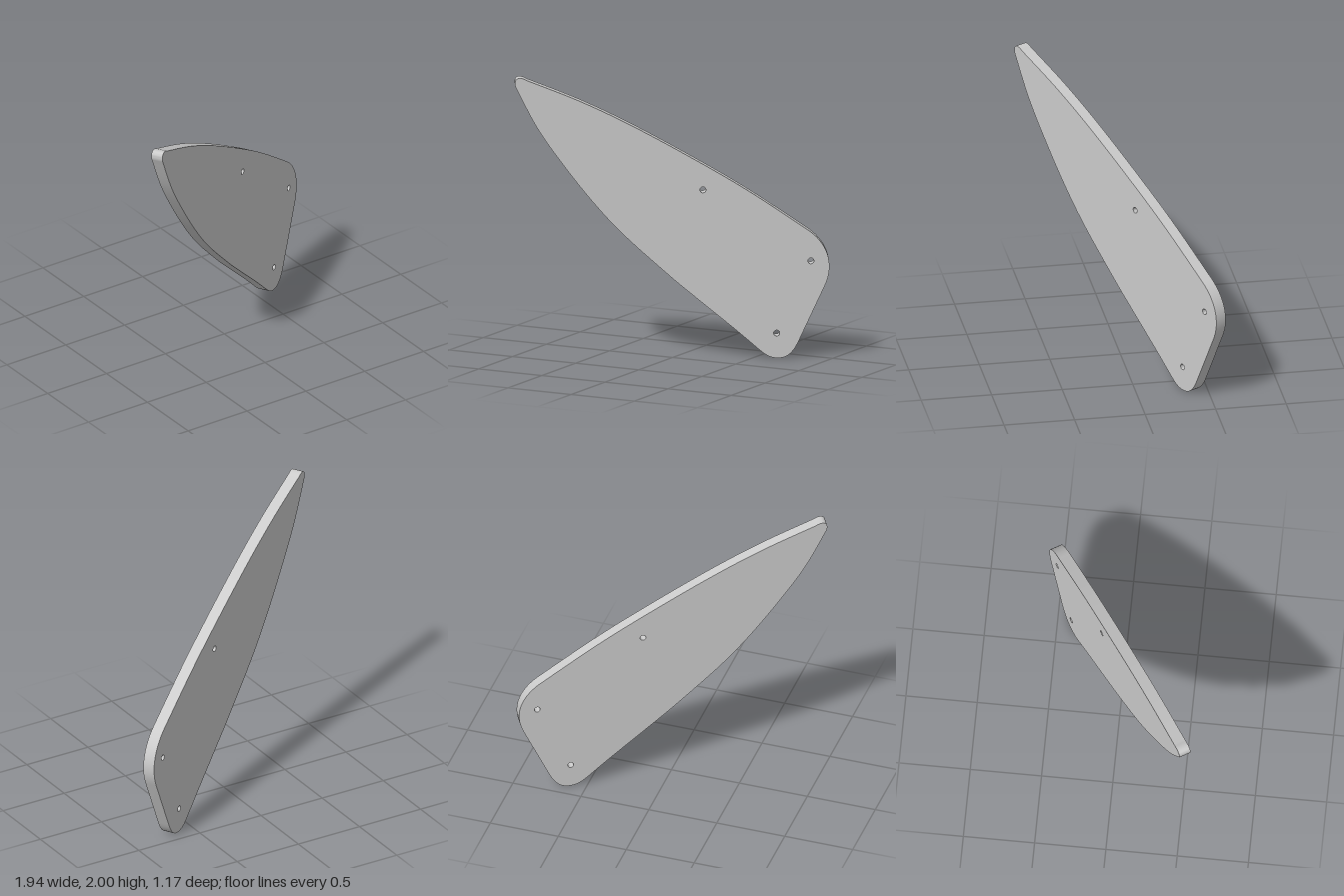
import * as THREE from 'three';
import { toCreasedNormals } from 'three/addons/utils/BufferGeometryUtils.js';

const ANGLE = Math.PI / 6;   // turn of the plate about the vertical
const THICK = 0.085;

// distance along the plate for a given x on its front face
const along = (x) => (x - Math.sin(ANGLE) * THICK / 2) / Math.cos(ANGLE);

function finOutline() {
  const s = new THREE.Shape();
  const line = (x, y) => s.lineTo(along(x), y);
  const curve = (a, b, c, d, x, y) => s.bezierCurveTo(along(a), b, along(c), d, along(x), y);
  const spline = (pts) => s.splineThru(pts.map(([x, y]) => new THREE.Vector2(along(x), y)));

  s.moveTo(along(0.66), 0);
  // rounded foot and straight short edge
  curve(0.72, 0, 0.755, 0.05, 0.785, 0.125);
  line(0.94, 0.51);
  // broad rounded corner
  curve(1.01, 0.68, 0.945, 0.825, 0.84, 0.91);
  // long upper edge
  spline([[0.5, 1.175], [0.2, 1.385], [-0.2, 1.643], [-0.53, 1.83], [-0.86, 1.985]]);
  // small rounded tip
  curve(-0.91, 2.02, -0.945, 2.0, -0.93, 1.94);
  // long bowed lower edge
  spline([[-0.8, 1.65], [-0.641, 1.383], [-0.456, 1.11], [-0.271, 0.878],
    [0, 0.592], [0.16, 0.435], [0.4, 0.205], [0.54, 0.065]]);
  curve(0.58, 0.025, 0.61, 0, 0.66, 0);

  // three bolt holes
  for (const [x, y] of [[0.204, 1.2], [0.857, 0.69], [0.65, 0.177]]) {
    s.holes.push(new THREE.Path().absarc(along(x), y, 0.021, 0, Math.PI * 2, true));
  }
  return s;
}

export function createModel() {
  const group = new THREE.Group();
  const geo = new THREE.ExtrudeGeometry(finOutline(), {
    depth: THICK, bevelEnabled: false, curveSegments: 16,
  });
  geo.translate(0, 0, -THICK / 2);
  const plate = new THREE.Mesh(
    toCreasedNormals(geo, Math.PI / 5),
    new THREE.MeshStandardMaterial({ color: 0xcccccc }),
  );
  plate.name = 'finPlate';
  plate.rotation.y = ANGLE;
  group.add(plate);
  return group;
}
